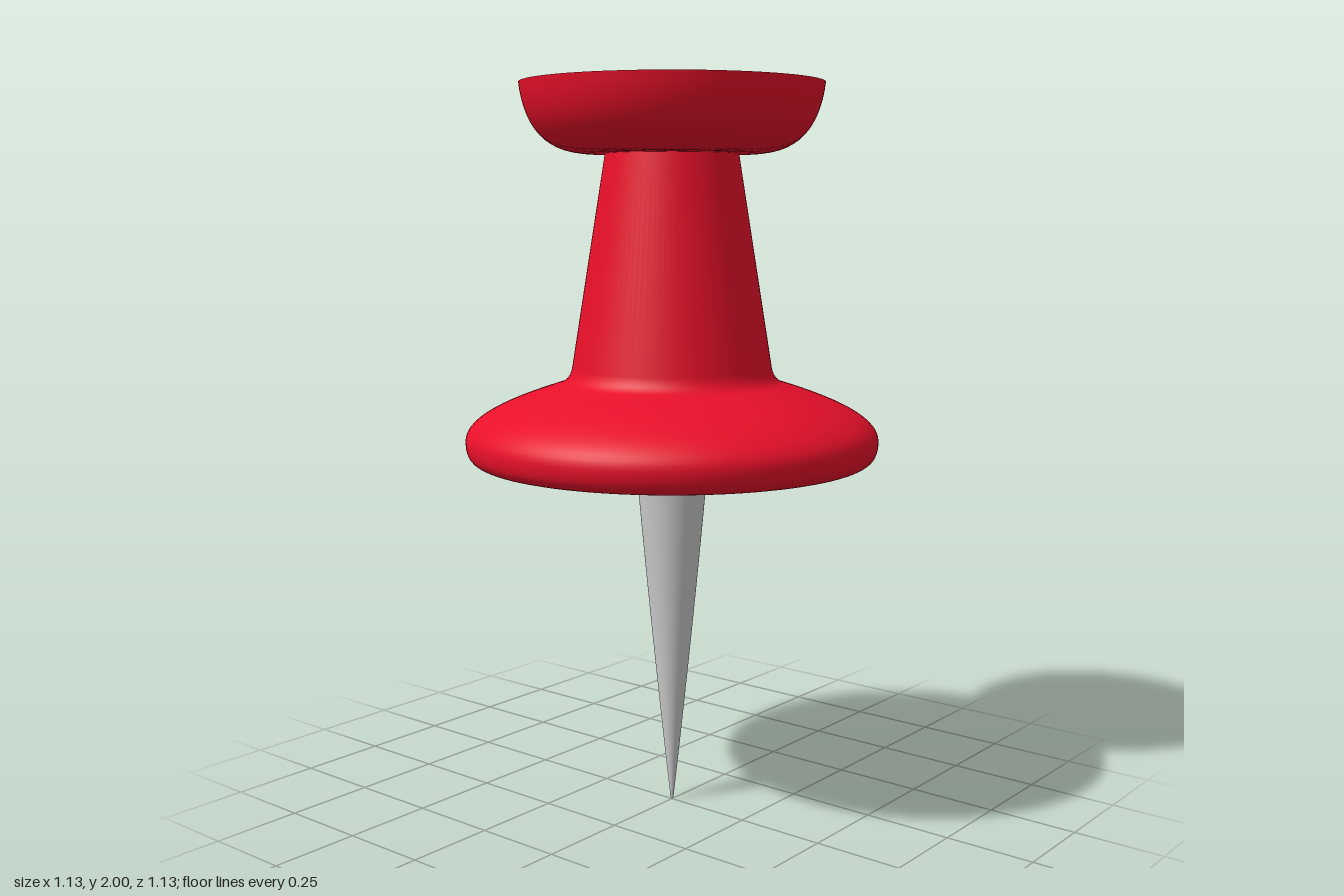
import * as THREE from 'three';

const red = new THREE.MeshStandardMaterial({ color: 0xe8102a });
const grey = new THREE.MeshStandardMaterial({ color: 0xcccccc });

// Revolves a path drawn from bottom to top around the y axis
function turned(name, path, material) {
  const mesh = new THREE.Mesh(new THREE.LatheGeometry(path.getPoints(14), 96), material);
  mesh.name = name;
  return mesh;
}

const start = (x, y) => new THREE.Path().moveTo(x, y);

export function createModel() {
  const pin = new THREE.Group();
  pin.name = 'pushPin';

  // Needle, swelling very slightly towards the handle
  const needle = start(0, 0);
  needle.lineTo(0.004, 0.005);
  needle.quadraticCurveTo(0.059, 0.5, 0.1, 0.975);
  pin.add(turned('needle', needle, grey));

  // Flat underside, rounded rim and sloping top of the collar
  const collar = start(0, 0.975);
  collar.lineTo(0.46, 0.975);
  collar.bezierCurveTo(0.54, 0.975, 0.565, 0.99, 0.565, 1.045);
  collar.bezierCurveTo(0.565, 1.1, 0.47, 1.145, 0.31, 1.196);
  // Small fillet into the stem
  collar.quadraticCurveTo(0.28, 1.205, 0.273, 1.24);
  // Tapered stem
  collar.lineTo(0.18, 1.815);
  pin.add(turned('collarAndStem', collar, red));

  // Bowl-shaped head
  const head = start(0.17, 1.815);
  head.lineTo(0.225, 1.815);
  head.bezierCurveTo(0.335, 1.815, 0.395, 1.88, 0.408, 2);
  pin.add(turned('head', head, red));

  // Flat cap closing the head with a sharp edge
  const cap = new THREE.Mesh(new THREE.CircleGeometry(0.408, 96), red);
  cap.name = 'headTop';
  cap.rotation.x = -Math.PI / 2;
  cap.position.y = 2;
  pin.add(cap);

  return pin;
}
